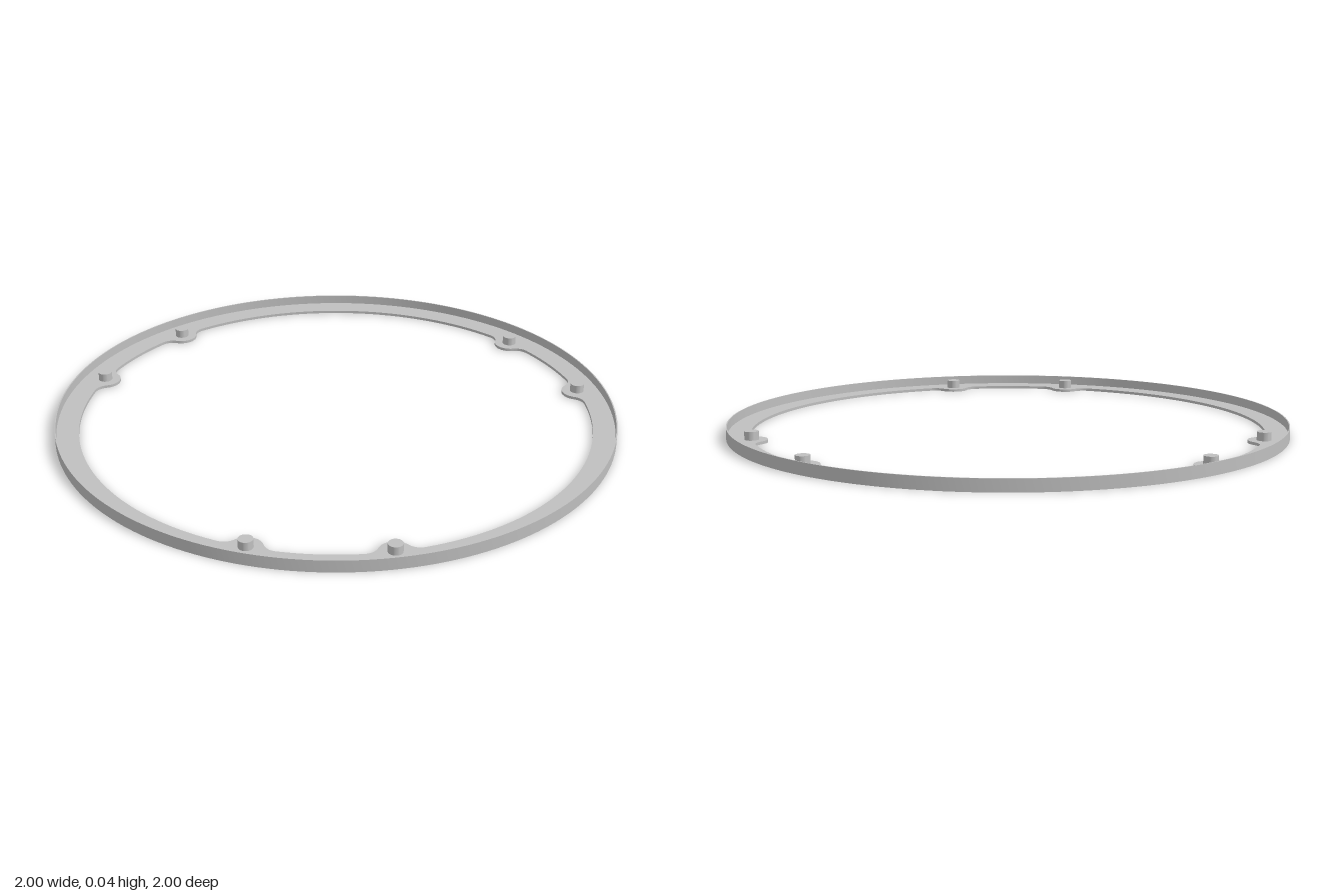
import * as THREE from 'three';
import { toCreasedNormals } from 'three/addons/utils/BufferGeometryUtils.js';

const INNER = 0.917, OUTER = 1, WALL = 0.004, HEIGHT = 0.043, FLOOR = 0.01;
const PEG_RING = 0.916, BOSS = 0.056, FILLET = 0.05, PEG = 0.025;

// Three pairs of pegs, one pair every 120 degrees
const pegAngles = [];
for (let i = 0; i < 3; i++) {
  for (const a of [6.4, 35.8]) pegAngles.push(THREE.MathUtils.degToRad(a + i * 120));
}

function arc(cx, cy, r, from, to, n) {
  const pts = [];
  for (let i = 0; i <= n; i++) {
    const t = from + ((to - from) * i) / n;
    pts.push(new THREE.Vector2(cx + r * Math.cos(t), cy + r * Math.sin(t)));
  }
  return pts;
}

// Inner edge of the floor: circle broken by filleted round bosses
function innerEdge() {
  const rf = INNER - FILLET;
  const d = Math.acos((rf * rf + PEG_RING ** 2 - (BOSS + FILLET) ** 2) / (2 * rf * PEG_RING));
  const e = Math.atan2(rf * Math.sin(d), PEG_RING - rf * Math.cos(d));
  const fillet = arc(rf * Math.cos(d), -rf * Math.sin(d), FILLET, -d, e, 8);
  const boss = arc(PEG_RING, 0, BOSS, Math.PI + e, Math.PI - e, 16).slice(1, -1);
  const mirrored = fillet.map((p) => new THREE.Vector2(p.x, -p.y)).reverse();
  const bump = [...fillet, ...boss, ...mirrored];
  const origin = new THREE.Vector2();
  const pts = [];
  pegAngles.forEach((a, i) => {
    const next = i < 5 ? pegAngles[i + 1] : pegAngles[0] + Math.PI * 2;
    bump.forEach((p) => pts.push(p.clone().rotateAround(origin, a)));
    pts.push(...arc(0, 0, INNER, a + d, next - d, 36).slice(1, -1));
  });
  return pts;
}

export function createModel() {
  const group = new THREE.Group();
  group.name = 'ringFrame';
  const grey = new THREE.MeshStandardMaterial({ color: 0xbfbfbf });
  grey.name = 'grey';

  const add = (name, geometry) => {
    const mesh = new THREE.Mesh(toCreasedNormals(geometry, 0.6), grey);
    mesh.name = name;
    group.add(mesh);
    return mesh;
  };

  // Flat floor ring with bosses
  const shape = new THREE.Shape(arc(0, 0, OUTER - WALL, 0, Math.PI * 2, 180).slice(0, -1));
  shape.holes.push(new THREE.Path(innerEdge()));
  const floor = new THREE.ExtrudeGeometry(shape, { depth: FLOOR, bevelEnabled: false });
  // Shape y becomes +z
  floor.rotateX(Math.PI / 2).translate(0, FLOOR, 0);
  add('floorRing', floor);

  // Thin upright wall
  const profile = [[OUTER - WALL, 0], [OUTER, 0], [OUTER, HEIGHT], [OUTER - WALL, HEIGHT], [OUTER - WALL, 0]];
  add('outerWall', new THREE.LatheGeometry(profile.map(([x, y]) => new THREE.Vector2(x, y)), 180));

  // Pegs standing on the bosses
  const pegHeight = 0.03;
  pegAngles.forEach((a, i) => {
    const peg = add(`peg${i + 1}`, new THREE.CylinderGeometry(PEG, PEG, pegHeight, 32));
    peg.position.set(PEG_RING * Math.cos(a), FLOOR + pegHeight / 2, PEG_RING * Math.sin(a));
  });

  return group;
}
